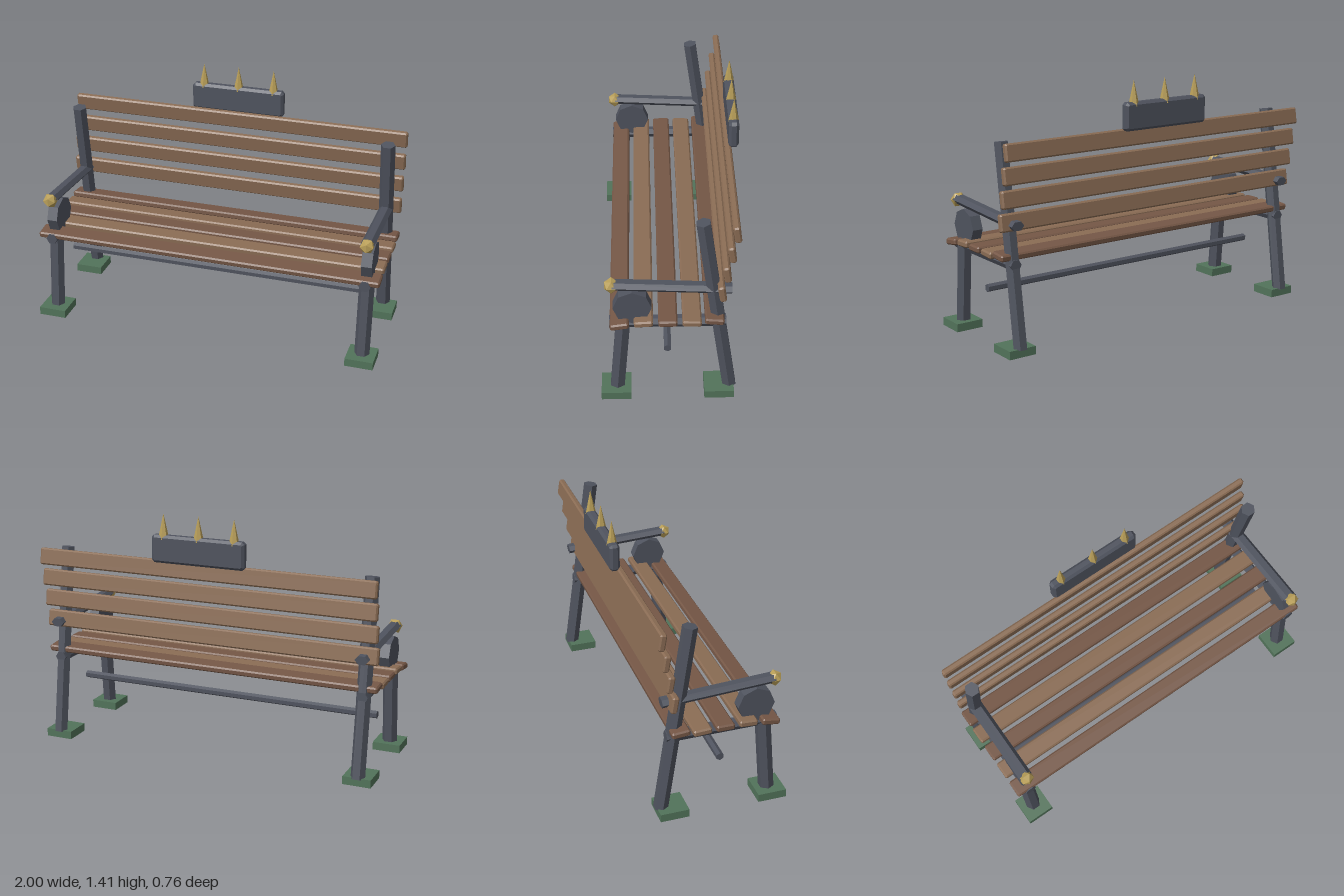
import * as THREE from 'three';

const paint = (color) => new THREE.MeshStandardMaterial({ color, flatShading: true });

export function createModel() {
  const bench = new THREE.Group();
  bench.name = 'parkBench';

  const iron = paint(0x4f535e);
  const brass = paint(0xb89e58);
  const footGreen = paint(0x52735a);
  const darkWood = paint(0x755746);
  const lightWood = paint(0x8a6c54);

  function add(name, geometry, material, x, y, z, tilt = 0) {
    const mesh = new THREE.Mesh(geometry, material);
    mesh.name = name;
    mesh.position.set(x, y, z);
    mesh.rotation.x = tilt;
    bench.add(mesh);
    return mesh;
  }

  // Board with every edge chamfered; thickness runs along z
  function board(width, height, thickness, c) {
    const w = width / 2 - c, h = height / 2 - c, k = c * 0.4;
    const shape = new THREE.Shape([
      [-w + k, -h], [w - k, -h], [w, -h + k], [w, h - k],
      [w - k, h], [-w + k, h], [-w, h - k], [-w, -h + k],
    ].map(([x, y]) => new THREE.Vector2(x, y)));
    const geometry = new THREE.ExtrudeGeometry(shape, {
      depth: thickness - 2 * c, bevelEnabled: true,
      bevelSize: c, bevelThickness: c, bevelSegments: 1,
    });
    return geometry.translate(0, 0, c - thickness / 2);
  }

  // Six-sided bar between two [y, z] points, with an edge facing each side
  function bar(name, x, [y0, z0], [y1, z1], radius, flatten = 1) {
    const length = Math.hypot(y1 - y0, z1 - z0);
    const geometry = new THREE.CylinderGeometry(radius, radius, length, 6);
    geometry.rotateY(Math.PI / 2).scale(1, 1, flatten);
    add(name, geometry, iron, x, (y0 + y1) / 2, (z0 + z1) / 2, Math.atan2(z1 - z0, y1 - y0));
  }

  // End frames, mirrored left and right
  for (const [side, x] of [['left', 0.92], ['right', -0.92]]) {
    for (const [end, z] of [['Front', 0.3], ['Rear', -0.255]]) {
      add(side + end + 'Foot', new THREE.BoxGeometry(0.16, 0.046, 0.16), footGreen, x, 0.023, z);
    }
    bar(side + 'FrontLeg', x, [0.03, 0.294], [0.48, 0.257], 0.043);
    bar(side + 'RearPost', x, [0.036, -0.311], [1.122, -0.156], 0.041);
    bar(side + 'SeatRail', x, [0.486, 0.329], [0.486, -0.285], 0.033);
    bar(side + 'Armrest', x, [0.733, 0.31], [0.701, -0.31], 0.038, 0.72);
    add(side + 'ArmrestKnob', new THREE.IcosahedronGeometry(0.043, 0), brass, x, 0.728, 0.313);

    // Eight-sided support disc under the armrest
    const disc = new THREE.CylinderGeometry(0.102, 0.102, 0.06, 8).rotateZ(Math.PI / 2);
    add(side + 'ArmrestDisc', disc, iron, x, 0.597, 0.207);
  }

  // Stretcher between the frames
  const stretcher = new THREE.CylinderGeometry(0.022, 0.022, 1.84, 6);
  stretcher.rotateY(Math.PI / 2).rotateZ(Math.PI / 2);
  add('stretcher', stretcher, iron, 0, 0.29, 0.022);

  // Seat slats: height, depth position and tilt in degrees, from front to back
  const seatSlat = board(2, 0.1, 0.036, 0.008).rotateX(-Math.PI / 2);
  [[0.507, 0.275, 8], [0.522, 0.149, 3], [0.522, 0.022, 0], [0.521, -0.104, -3], [0.532, -0.222, -5]]
    .forEach(([y, z, degrees], i) => {
      add('seatSlat' + (i + 1), seatSlat, i % 2 ? lightWood : darkWood,
        0, y, z, THREE.MathUtils.degToRad(degrees));
    });

  // Back slats, stepping up and backwards
  const backSlat = board(2, 0.095, 0.036, 0.008);
  for (let i = 0; i < 4; i++) {
    add('backSlat' + (i + 1), backSlat, lightWood,
      0, 0.715 + i * 0.1263, -0.257 - i * 0.022, THREE.MathUtils.degToRad(9));
  }

  // Crest board with three spikes
  add('crestBoard', board(0.546, 0.155, 0.055, 0.014), iron, 0, 1.211, -0.348);
  for (const x of [-0.208, 0, 0.208]) {
    add('crestSpike', new THREE.ConeGeometry(0.03, 0.14, 6), brass, x, 1.336, -0.348);
  }

  return bench;
}
